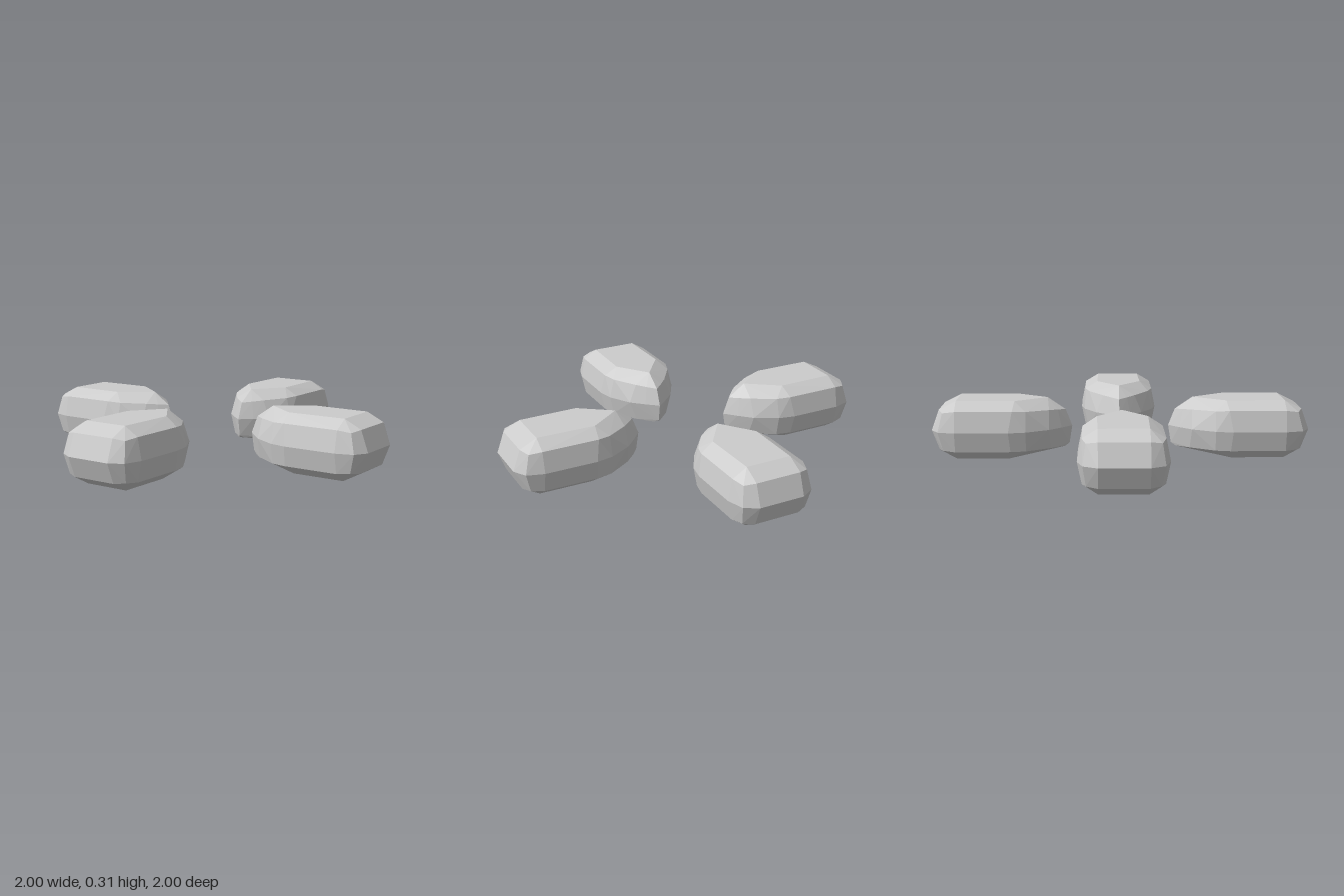
import * as THREE from 'three';
import { ConvexGeometry } from 'three/addons/geometries/ConvexGeometry.js';

// Half outlines of one pad, bottom to top: [distance from centre, half width, height]
const OUTLINES = [
  // flat underside, rising slightly towards the tip
  [[0.87, 0.12, 0], [0.59, 0.12, 0], [0.44, 0, 0.018]],
  // lower bevel
  [[0.96, 0.12, 0.05], [0.935, 0.175, 0.055], [0.87, 0.195, 0.05], [0.58, 0.195, 0.05],
    [0.5, 0.178, 0.05], [0.37, 0.095, 0.05], [0.3, 0.02, 0.045], [0.275, 0, 0.06]],
  // widest line
  [[1, 0.12, 0.155], [0.96, 0.19, 0.155], [0.87, 0.217, 0.155], [0.59, 0.217, 0.155],
    [0.5, 0.198, 0.155], [0.38, 0.13, 0.155], [0.315, 0.063, 0.155], [0.26, 0, 0.155]],
  // upper bevel
  [[0.96, 0.12, 0.265], [0.935, 0.175, 0.255], [0.87, 0.195, 0.265], [0.57, 0.195, 0.265],
    [0.5, 0.172, 0.26], [0.38, 0.09, 0.255], [0.335, 0.045, 0.25], [0.295, 0, 0.245]],
  // flat top
  [[0.87, 0.12, 0.31], [0.56, 0.125, 0.31], [0.39, 0, 0.31]],
];

// Mirror the half outlines and wrap them in a faceted convex skin
function padGeometry() {
  const points = [];
  for (const [r, w, y] of OUTLINES.flat()) {
    points.push(new THREE.Vector3(r, y, w));
    if (w > 0) points.push(new THREE.Vector3(r, y, -w));
  }
  return new ConvexGeometry(points);
}

export function createModel() {
  const model = new THREE.Group();
  model.name = 'directionPads';
  const material = new THREE.MeshStandardMaterial({ color: 0xcccccc, flatShading: true });
  const geometry = padGeometry();

  // Four pads around the centre, tips pointing inwards
  ['leftPad', 'backPad', 'rightPad', 'frontPad'].forEach((name, i) => {
    const pad = new THREE.Mesh(geometry, material);
    pad.name = name;
    pad.rotation.y = i * Math.PI / 2;
    model.add(pad);
  });
  return model;
}
